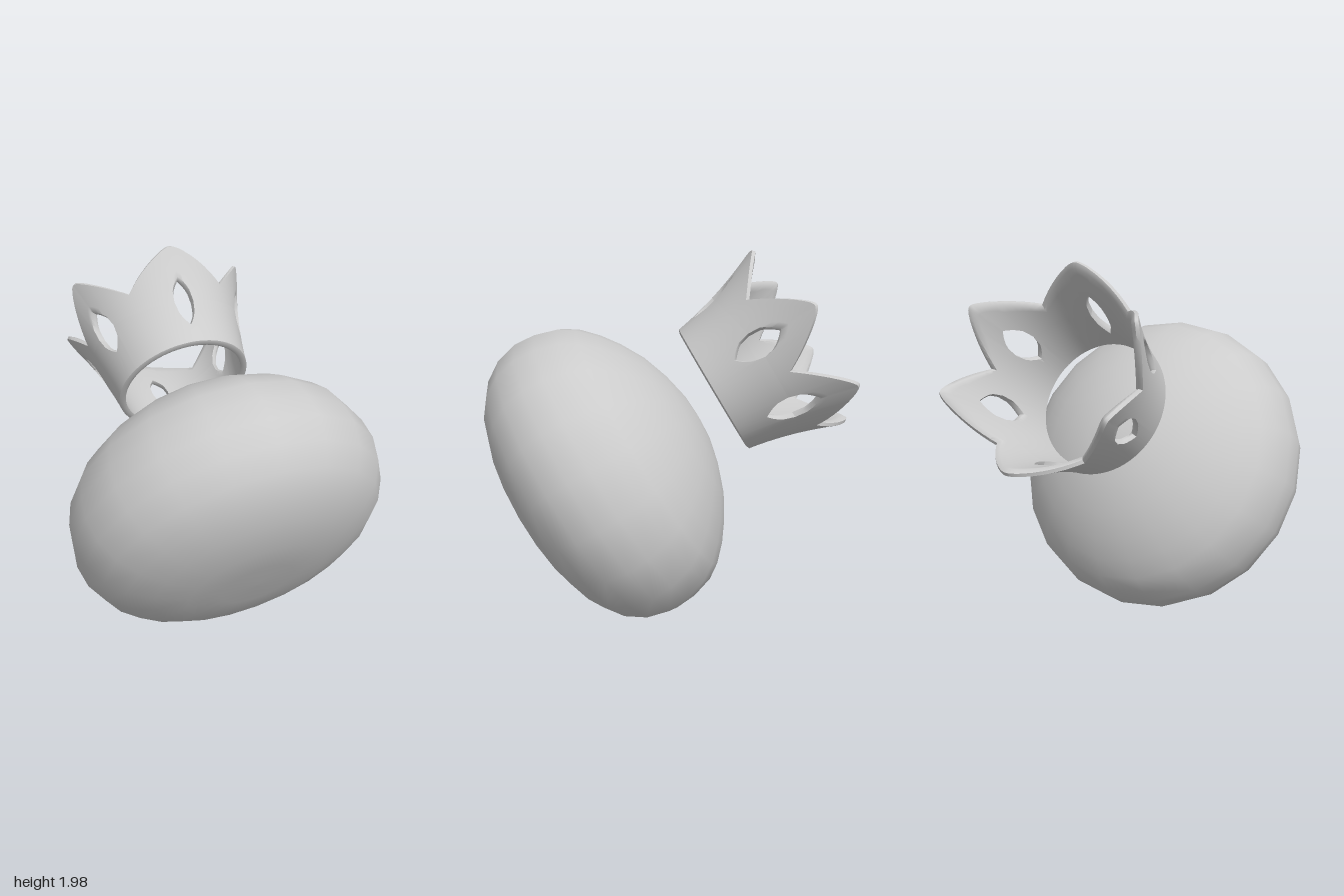
import * as THREE from 'three';
import { mergeGeometries, toCreasedNormals } from 'three/addons/utils/BufferGeometryUtils.js';

const TILT = THREE.MathUtils.degToRad(59.3);
const THICK = 0.036;

// Crown wall: the angle is stretched a little, so the side points sit closer together
const warp = (a) => a + 0.1 * Math.sin(2 * a);
const sideness = (a) => Math.min(1, Math.sin(a) ** 2 / 0.75);
const wallRadius = (h, a) => 0.372 + 0.15 * h + (0.285 - 0.08 * sideness(a)) * h * h;

// One entry per vertical column of the wall: its angle, top edge and eyelet opening
function crownColumns() {
  const half = [0, 0.08, 0.2, 0.4, 0.65, 0.85, 1];
  const columns = [];
  const e = 0.1;
  for (let tip = 0; tip < 6; tip++) {
    const isSide = tip % 3 !== 0;
    const width = isSide ? 0.35 : 0.2;
    const tipHeight = isSide ? 0.635 : 0.555;
    const steps = half.map((k) => k * width);
    for (let k = 1; k <= 6; k++) steps.push(width + ((1 - width) * k) / 6);
    const ts = [...steps.slice(1).reverse().map((t) => -t), ...steps].slice(0, -1);
    for (const t of ts) {
      const a = (tip + t / 2) * (Math.PI / 3);
      const d = Math.abs(t);
      const fall = (Math.sqrt(d * d + e * e) - e) / (Math.sqrt(1 + e * e) - e);
      const gap = 0.125 * Math.sqrt(Math.max(0, 1 - d / width));
      const mid = 0.245 + 0.06 * sideness(a);
      columns.push({ a, top: 0.385 + (tipHeight - 0.385) * (1 - fall), lo: mid - gap, hi: mid + gap, bevel: Math.min(0.012, gap) });
    }
  }
  return columns;
}

// Closed band around the crown, lofted from one cross-section per column
function band(columns, range) {
  const positions = [];
  const index = [];
  const rows = 5;
  let n = 0;
  for (const col of columns) {
    const [lo, hi, bevelLo, bevelHi] = range(col);
    const section = [];
    const add = (h, inset) => section.push([wallRadius(h, col.a) - inset, h]);
    const level = (k) => lo + bevelLo + ((hi - bevelHi - lo - bevelLo) * k) / rows;
    add(lo, THICK / 2);
    for (let k = 0; k <= rows; k++) add(level(k), 0);
    add(hi, THICK / 2);
    for (let k = rows; k >= 0; k--) add(level(k), THICK);
    n = section.length;
    const angle = warp(col.a);
    for (const [r, h] of section) positions.push(r * Math.sin(angle), h, r * Math.cos(angle));
  }
  for (let i = 0; i < columns.length; i++) {
    const next = (i + 1) % columns.length;
    for (let j = 0; j < n; j++) {
      const k = (j + 1) % n;
      const a = i * n + j, b = next * n + j, c = next * n + k, d = i * n + k;
      index.push(a, b, c, a, c, d);
    }
  }
  const geometry = new THREE.BufferGeometry();
  geometry.setAttribute('position', new THREE.Float32BufferAttribute(positions, 3));
  geometry.setIndex(index);
  return toCreasedNormals(geometry, 1.0);
}

export function createModel() {
  const material = new THREE.MeshStandardMaterial({ color: 0xcccccc });
  const model = new THREE.Group();
  model.name = 'crownedBall';

  // Everything leans back about the x axis
  const tilted = new THREE.Group();
  tilted.name = 'tiltedBody';
  tilted.rotation.x = -TILT;
  tilted.position.set(0, 0.748, 0.444);
  model.add(tilted);

  // Squashed round body with a flattened underside
  const profile = [
    [0, -0.365], [0.2, -0.363], [0.37, -0.352], [0.53, -0.305], [0.66, -0.245],
    [0.755, -0.165], [0.82, -0.06], [0.848, 0.06], [0.838, 0.175], [0.8, 0.295],
    [0.745, 0.375], [0.66, 0.455], [0.56, 0.527], [0.43, 0.6], [0.28, 0.653],
    [0.14, 0.684], [0, 0.693],
  ].map(([r, y]) => new THREE.Vector2(r, y));
  const body = new THREE.Mesh(new THREE.LatheGeometry(profile, 20), material);
  body.name = 'body';
  body.scale.x = 0.98;
  tilted.add(body);

  // Six-pointed crown: one band below the eyelets, one above
  const columns = crownColumns();
  const lower = band(columns, (c) => [0, c.lo, 0.008, c.bevel]);
  const upper = band(columns, (c) => [c.hi, c.top, c.bevel, 0.014]);
  const crown = new THREE.Mesh(mergeGeometries([lower, upper]), material);
  crown.name = 'crown';
  crown.position.set(0, 0.835, 0.088);
  tilted.add(crown);

  return model;
}
